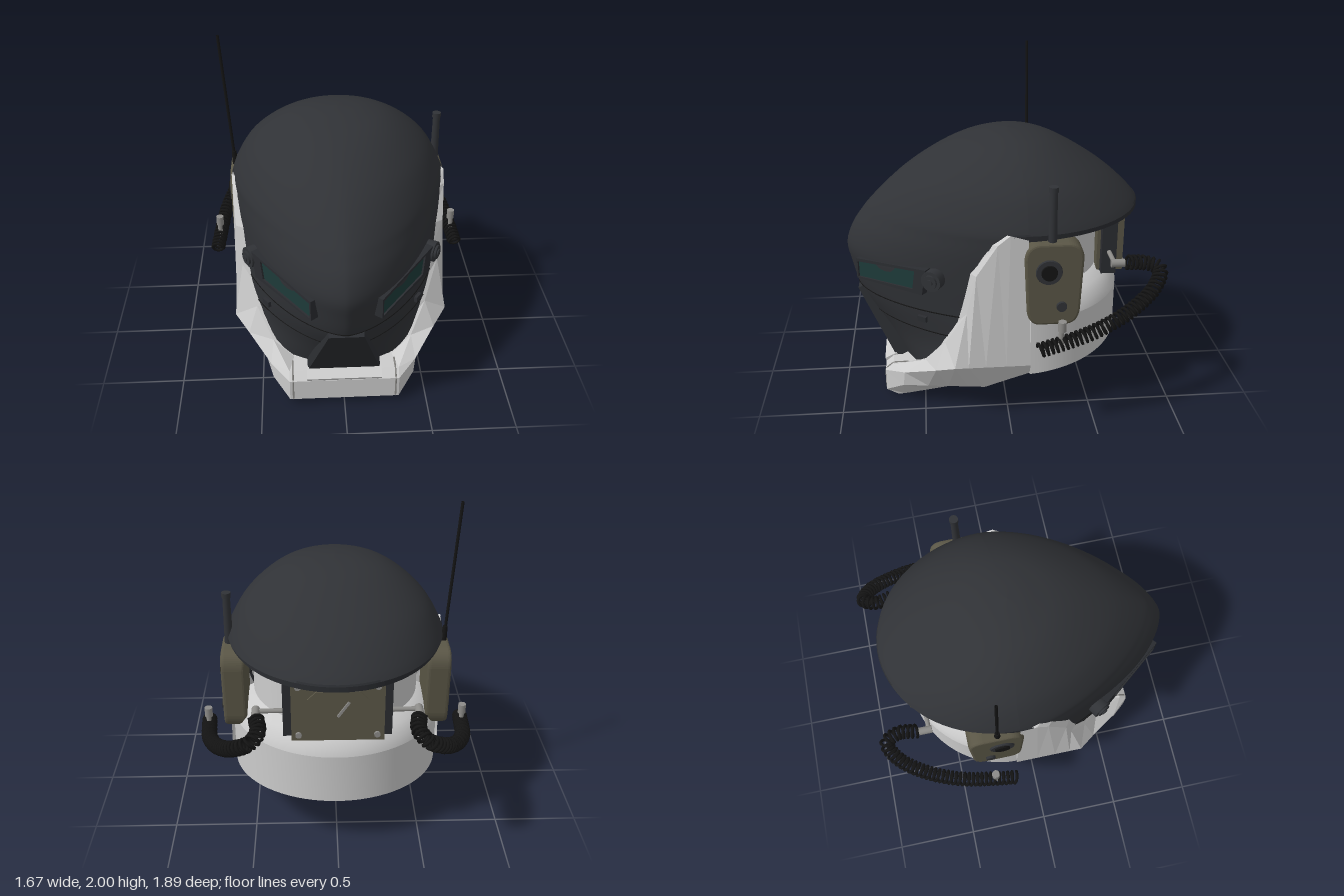
import * as THREE from 'three';

const mat = (color, flatShading = false) =>
  new THREE.MeshStandardMaterial({ color, flatShading, side: THREE.DoubleSide });
const PALE = mat(0xcccccc), PALE_FLAT = mat(0xcccccc, true), DARK = mat(0x303236), DARK_FLAT = mat(0x2a2c30, true);
const OLIVE = mat(0x5a5646), BLACK = mat(0x141414), GLASS = mat(0x1d3a39), STEEL = mat(0x8c8b88);

function add(parent, name, geometry, material, pos = [0, 0, 0], rot = [0, 0, 0]) {
  const mesh = new THREE.Mesh(geometry, material);
  mesh.name = name;
  mesh.position.set(...pos);
  mesh.rotation.set(...rot);
  parent.add(mesh);
  return mesh;
}

// Skin a surface over rows of points that all have the same length
function loft(rows) {
  const n = rows[0].length, index = [];
  for (let r = 0; r < rows.length - 1; r++)
    for (let c = 0; c < n - 1; c++) {
      const a = r * n + c, b = a + n;
      index.push(a, a + 1, b, a + 1, b + 1, b);
    }
  const g = new THREE.BufferGeometry();
  g.setAttribute('position', new THREE.Float32BufferAttribute(rows.flat(2), 3));
  g.setIndex(index);
  g.computeVertexNormals();
  return g;
}

const vectors = pts => pts.map(p => new THREE.Vector3(...p));
const shapeOf = pts => new THREE.Shape(pts.map(p => new THREE.Vector2(...p)));
const box = (x, y, z) => new THREE.BoxGeometry(x, y, z);
const rod = (r1, r2, h, n = 16) => new THREE.CylinderGeometry(r1, r2, h, n);

// Shell levels: y, front z, half width, z of side edge, centre z, back z, front roundness
const LEVELS = [
  [0.23, 0.66, 0.79, 0.53, -0.1, -0.83, 1.6],
  [0.40, 0.755, 0.67, 0.40, -0.1, -0.83, 1.6],
  [0.62, 0.88, 0.645, 0.27, -0.1, -0.83, 1.6],
  [0.80, 0.93, 0.645, 0.235, -0.1, -0.83, 1.6],
  [0.92, 0.95, 0.645, 0.21, -0.1, -0.83, 1.6],
  [1.04, 0.91, 0.65, 0.16, -0.1, -0.83, 1.6],
  [1.13, 0.85, 0.65, 0.08, -0.1, -0.83, 1.6],
  [1.19, 0.80, 0.645, -0.1, -0.1, -0.83, 1.62],
  [1.28, 0.71, 0.605, -0.1, -0.1, -0.75, 1.68],
  [1.37, 0.605, 0.55, -0.1, -0.1, -0.645, 1.75],
  [1.45, 0.49, 0.475, -0.09, -0.09, -0.53, 1.8],
  [1.52, 0.365, 0.385, -0.08, -0.08, -0.415, 1.9],
  [1.57, 0.245, 0.295, -0.07, -0.07, -0.315, 2],
  [1.60, 0.135, 0.205, -0.06, -0.06, -0.225, 2],
  [1.617, 0.05, 0.115, -0.05, -0.05, -0.135, 2],
  [1.625, -0.04, 0, -0.04, -0.04, -0.04, 2],
];
const RIM = 7, TOP = LEVELS.length - 1;

// Catmull-Rom interpolation between the levels
function level(t) {
  const i = Math.min(Math.floor(t), TOP - 1), f = t - i;
  const L = k => LEVELS[Math.max(0, Math.min(TOP, k))];
  return L(i).map((b, k) => {
    const a = L(i - 1)[k], c = L(i + 1)[k], d = L(i + 2)[k];
    return b + 0.5 * f * (c - a + f * (2 * a - 5 * b + 4 * c - d + f * (3 * (b - c) + d - a)));
  });
}

// Horizontal outline of the front half, from the left edge round to the right edge
function frontRow(t, n = 48) {
  const [y, zf, w, edge, zc, , p] = level(t);
  const a0 = zf - zc > 1e-4 ? Math.asin(Math.max(0, Math.min(1, (edge - zc) / (zf - zc)))) : 0;
  return Array.from({ length: n + 1 }, (_, i) => {
    const a = a0 + (Math.PI - 2 * a0) * i / n, v = Math.max(0, Math.min(1, Math.sin(a)));
    const u = Math.pow(1 - Math.pow(v, p), 1 / p);
    return [Math.sign(Math.cos(a)) * u * w, y, zc + (zf - zc) * v];
  });
}

// Half ellipse around the back
const backArc = (y, w, depth, zc, n = 40, tilt = 0) => Array.from({ length: n + 1 }, (_, i) => {
  const a = Math.PI * i / n;
  return [w * Math.cos(a), y + tilt * Math.sin(a), zc - depth * Math.sin(a)];
});

// Coil wound around a guide curve
class Coil extends THREE.Curve {
  constructor(path, radius, turns) { super(); Object.assign(this, { path, radius, turns }); }
  getPoint(t) {
    const tan = this.path.getTangentAt(t), a = t * this.turns * Math.PI * 2;
    const side = new THREE.Vector3(0, 1, 0).cross(tan).normalize(), up = tan.clone().cross(side);
    return this.path.getPointAt(t).addScaledVector(side, this.radius * Math.cos(a))
      .addScaledVector(up, this.radius * Math.sin(a));
  }
}

// Everything that exists on both sides, built for +x
function buildSide() {
  const g = new THREE.Group();

  // Jaw guard: each station runs from inner edge over the cheek to the middle of the underside
  const stations = [
    [[0.6, 1.17, -0.1], [0.65, 1.17, -0.1], [0.66, 0.375, -0.12], [0.62, 0.3, -0.12], [0.34, 0.3, -0.12]],
    [[0.6, 1.19, 0.04], [0.65, 1.2, 0], [0.66, 0.375, 0.02], [0.585, 0.238, 0], [0.34, 0.237, 0]],
    [[0.58, 1.13, 0.13], [0.645, 1.14, 0.07], [0.66, 0.375, 0.14], [0.545, 0.165, 0.14], [0.34, 0.163, 0.14]],
    [[0.55, 0.95, 0.24], [0.63, 0.95, 0.19], [0.66, 0.375, 0.24], [0.522, 0.158, 0.24], [0.34, 0.11, 0.24]],
    [[0.53, 0.72, 0.29], [0.602, 0.7, 0.245], [0.66, 0.375, 0.32], [0.495, 0.15, 0.36], [0.34, 0.045, 0.36]],
    [[0.44, 0.48, 0.39], [0.52, 0.47, 0.37], [0.575, 0.315, 0.43], [0.468, 0.142, 0.48], [0.34, 0.028, 0.48]],
    [[0.34, 0.3, 0.48], [0.425, 0.3, 0.49], [0.44, 0.225, 0.62], [0.43, 0.13, 0.63], [0.335, 0.005, 0.63]],
    [[0.3, 0.22, 0.56], [0.33, 0.22, 0.69], [0.33, 0.18, 0.74], [0.33, 0.04, 0.74], [0.33, 0, 0.67]],
    [[0, 0.22, 0.56], [0, 0.22, 0.69], [0, 0.18, 0.74], [0, 0.04, 0.74], [0, 0, 0.67]],
  ].map(s => [...s, [0, s[4][1], s[4][2]]]);
  add(g, 'jawGuard', loft(stations), PALE_FLAT);
  const seam = vectors([[0.31, 0.222, 0.6], [0.31, 0.222, 0.69], [0.31, 0.18, 0.74], [0.31, 0.04, 0.74],
    [0.31, 0.003, 0.67], [0.31, 0.04, 0.37], [0.31, 0.3, -0.12]]);
  add(g, 'chinSeam', new THREE.TubeGeometry(new THREE.CatmullRomCurve3(seam, false, 'catmullrom', 0), 60, 0.005, 4), STEEL);

  // Eye slot: frame and glass lie along the cheek
  const eye = new THREE.Group();
  eye.name = 'eyeSlot';
  eye.position.set(0.17, 0, 0.865);
  eye.rotation.y = Math.atan2(0.4, 0.32);
  const frame = shapeOf([[0, 0.76], [0.5, 0.785], [0.53, 0.95], [0, 0.89]]);
  const opening = [[0.012, 0.772], [0.43, 0.805], [0.45, 0.925], [0.012, 0.872]];
  frame.holes.push(shapeOf(opening));
  add(eye, 'eyeFrame', new THREE.ExtrudeGeometry(frame, { depth: 0.075, bevelEnabled: false }), DARK_FLAT, [0, 0, -0.04]);
  add(eye, 'eyeGlass', new THREE.ShapeGeometry(shapeOf(opening)), GLASS, [0, 0, 0.024]);
  g.add(eye);

  // Round hinge beside the eye
  [[0.062, 0.06], [0.042, 0.085], [0.02, 0.1]].forEach(([r, h]) =>
    add(g, 'templeDisc', rod(r, r, h, 24), DARK, [0.528, 0.89, 0.43], [0, Math.PI / 3, 0]).rotateX(Math.PI / 2));
  add(g, 'cheekButton', box(0.02, 0.035, 0.06), DARK_FLAT, [0.452, 0.6, 0.5], [0, -0.6, 0]);

  // Ear pod: rounded, tapering plate
  const pod = new THREE.Shape();
  pod.moveTo(-0.08, -0.24);
  pod.lineTo(0.08, -0.24);
  pod.quadraticCurveTo(0.13, -0.235, 0.138, -0.16);
  pod.lineTo(0.152, 0.15);
  pod.quadraticCurveTo(0.15, 0.23, 0.08, 0.235);
  pod.lineTo(-0.08, 0.235);
  pod.quadraticCurveTo(-0.15, 0.23, -0.152, 0.15);
  pod.lineTo(-0.138, -0.16);
  pod.quadraticCurveTo(-0.13, -0.235, -0.08, -0.24);
  add(g, 'earPod', new THREE.ExtrudeGeometry(pod, { depth: 0.1, bevelThickness: 0.02, bevelSize: 0.016, bevelSegments: 3 }),
    OLIVE, [0.55, 0.9, -0.245], [0, Math.PI / 2, 0]);
  const knob = (name, r, h, y, z, m = DARK) => add(g, name, rod(r * 0.9, r, h, 24), m, [0.67 + h / 2 - 0.01, y, z], [0, 0, -Math.PI / 2]);
  knob('earDial', 0.08, 0.02, 0.98, -0.215);
  knob('earDialCap', 0.05, 0.03, 0.98, -0.215, BLACK);
  knob('earButton', 0.032, 0.025, 0.765, -0.29);

  // Coiled cable with its plugs
  const path = new THREE.CatmullRomCurve3(vectors([[0.79, 0.555, -0.15], [0.775, 0.59, -0.3], [0.745, 0.65, -0.5],
    [0.675, 0.73, -0.7], [0.575, 0.82, -0.85], [0.48, 0.885, -0.895], [0.44, 0.905, -0.82], [0.455, 0.92, -0.7]]));
  add(g, 'coiledCable', new THREE.TubeGeometry(new Coil(path, 0.038, 40), 720, 0.0095, 5), BLACK);
  add(g, 'lowerPlug', rod(0.024, 0.024, 0.06), STEEL, [0.775, 0.695, -0.28]);
  add(g, 'lowerLead', rod(0.014, 0.016, 0.1), STEEL, [0.777, 0.63, -0.275]);
  add(g, 'upperPlug', rod(0.024, 0.024, 0.08), STEEL, [0.46, 0.92, -0.65], [Math.PI / 2, 0, 0]);
  add(g, 'upperPlugStem', rod(0.014, 0.014, 0.16), STEEL, [0.38, 0.92, -0.63], [0, 0, Math.PI / 2]);

  // Dark bracket beside the rear pack
  add(g, 'packBracket', box(0.05, 0.4, 0.09), DARK_FLAT, [0.283, 0.98, -0.63]);
  return g;
}

export function createModel() {
  const model = new THREE.Group();

  // Shell: face mask with dome front, and dome back
  const steps = (from, to, k = 4) => Array.from({ length: (to - from) * k + 1 }, (_, i) => from + i / k);
  add(model, 'faceShell', loft(steps(0, TOP).map(t => frontRow(t))), DARK);
  add(model, 'domeBack', loft(steps(RIM, TOP).map(t => {
    const [y, , w, , zc, zr] = level(t);
    return backArc(y, w, zc - zr, zc);
  })), DARK);
  add(model, 'domeRim', loft([[1, 1.2], [1.008, 1.19], [1.008, 1.158], [0.93, 1.158], [0.93, 1.175], [0.6, 1.175]]
    .map(([s, y]) => backArc(y, 0.645 * s, 0.808 * s, -0.02))), DARK_FLAT);

  // Panel seams across the lower mask
  [1.5, 2.17].forEach(t => add(model, 'maskSeam',
    new THREE.TubeGeometry(new THREE.CatmullRomCurve3(vectors(frontRow(t, 40))), 80, 0.004, 4), BLACK));

  // Raised mouth plate and the lip below it
  const mouth = shapeOf([[-0.22, 0], [0.22, 0], [0.1, 0.49], [-0.1, 0.49]]);
  add(model, 'mouthPlate', new THREE.ExtrudeGeometry(mouth, { depth: 0.08, bevelEnabled: false }),
    DARK_FLAT, [0, 0.24, 0.6], [Math.atan2(0.225, 0.44), 0, 0]);
  add(model, 'chinLip', box(0.45, 0.05, 0.08), PALE_FLAT, [0, 0.195, 0.7], [0.45, 0, 0]);

  // Neck collar stepping in to the rear liner; closed inside
  add(model, 'neckCollar', loft([[0, 0.46, 0], [0.9, 0.46, 0], [0.9, 0.3, 0.05], [1, 0.3, 0.05], [1, 0.3, 0.05], [1, 0.66, 0],
    [1, 0.66, 0], [0.975, 0.71, 0], [0.9, 0.77, 0], [0.79, 0.8, 0], [0.79, 0.8, 0], [0.78, 1.18, 0]]
    .map(([s, y, tilt]) => backArc(y, 0.635 * s, 0.607 * s, -0.12, 40, tilt))), PALE);
  add(model, 'neckInnerWall', box(1.18, 0.17, 0.02), PALE_FLAT, [0, 0.385, -0.12]);

  // Rear pack: box, cut-corner plate, pointer and screws
  add(model, 'rearPack', box(0.52, 0.39, 0.16), OLIVE, [0, 0.975, -0.645]);
  const plate = shapeOf([[-0.17, -0.07], [-0.12, -0.12], [0.12, -0.12], [0.17, -0.07], [0.17, 0.07], [0.12, 0.12], [-0.12, 0.12], [-0.17, 0.07]]);
  add(model, 'rearPlate', new THREE.ExtrudeGeometry(plate, { depth: 0.012, bevelEnabled: false }), OLIVE, [0, 0.98, -0.735]);
  add(model, 'rearPointer', box(0.014, 0.11, 0.012), STEEL, [-0.03, 0.99, -0.739], [0, 0, 0.6]);
  for (const x of [-0.22, 0.22]) for (const y of [0.82, 1.13])
    add(model, 'packScrew', rod(0.018, 0.018, 0.02, 12), STEEL, [x, y, -0.728], [Math.PI / 2, 0, 0]);

  // Left and right sides
  for (const s of [1, -1]) {
    const side = buildSide();
    side.name = s > 0 ? 'leftSide' : 'rightSide';
    side.scale.x = s;
    model.add(side);
  }

  // Short antenna on the left, tall whip on the right
  add(model, 'shortAntenna', rod(0.022, 0.026, 0.36), DARK, [0.628, 1.28, -0.235]);
  add(model, 'shortAntennaCap', rod(0.027, 0.027, 0.03), DARK, [0.628, 1.457, -0.235]);
  const whip = new THREE.LineCurve3(new THREE.Vector3(-0.638, 1.1, -0.235), new THREE.Vector3(-0.695, 2, -0.235));
  add(model, 'whipAntenna', new THREE.TubeGeometry(whip, 1, 0.009, 8), BLACK);
  add(model, 'whipBase', rod(0.014, 0.02, 0.12), BLACK, [-0.642, 1.18, -0.235], [0, 0, 0.065]);
  return model;
}
